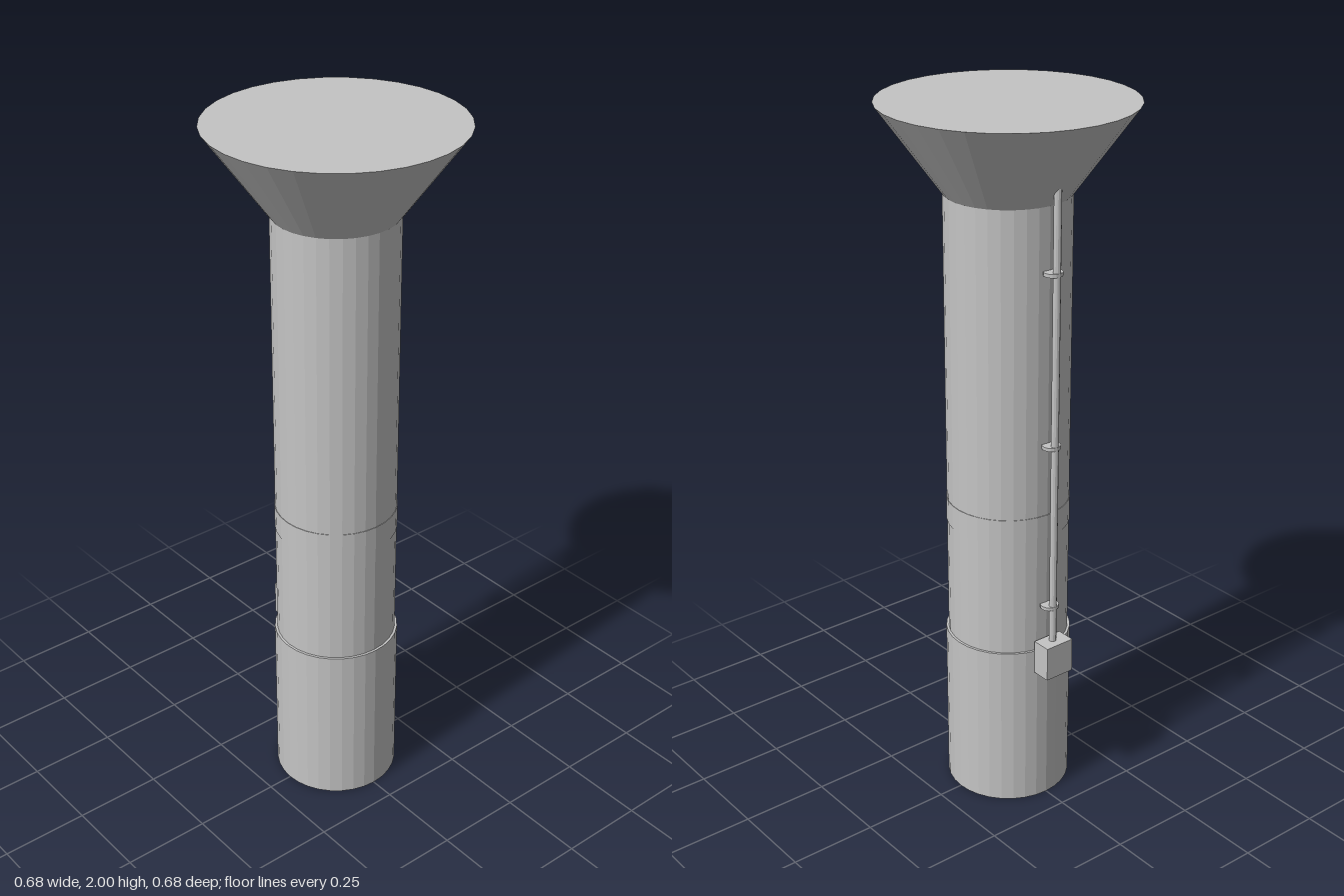
import * as THREE from 'three';

export function createModel() {
  const group = new THREE.Group();
  const grey = new THREE.MeshStandardMaterial({ color: 0xc4c4c4, flatShading: true });
  grey.name = 'light grey';

  const add = (name, geometry, x, y, z) => {
    const mesh = new THREE.Mesh(geometry, grey);
    mesh.name = name;
    mesh.position.set(x, y, z);
    group.add(mesh);
  };
  // upright round part between two heights
  const round = (name, rTop, rBottom, y0, y1, sides = 32, z = 0) =>
    add(name, new THREE.CylinderGeometry(rTop, rBottom, y1 - y0, sides), 0, (y0 + y1) / 2, z);

  // column, from the base up
  round('base', 0.177, 0.177, 0, 0.487);
  round('shaft', 0.17, 0.17, 0.487, 1.763);
  round('shaftBand', 0.1715, 0.1715, 0.83, 0.9);
  round('flaredCapital', 0.342, 0.17, 1.763, 2);

  // downpipe on the back, with its box and clamps
  const pipeZ = -0.198;
  round('downpipe', 0.0105, 0.0105, 0.5, 1.82, 12, pipeZ);
  add('junctionBox', new THREE.BoxGeometry(0.09, 0.1, 0.056), 0, 0.471, -0.202);
  for (const y of [0.625, 1.108, 1.59]) {
    round('pipeClamp', 0.026, 0.026, y - 0.005, y + 0.005, 16, -0.183);
  }
  return group;
}
